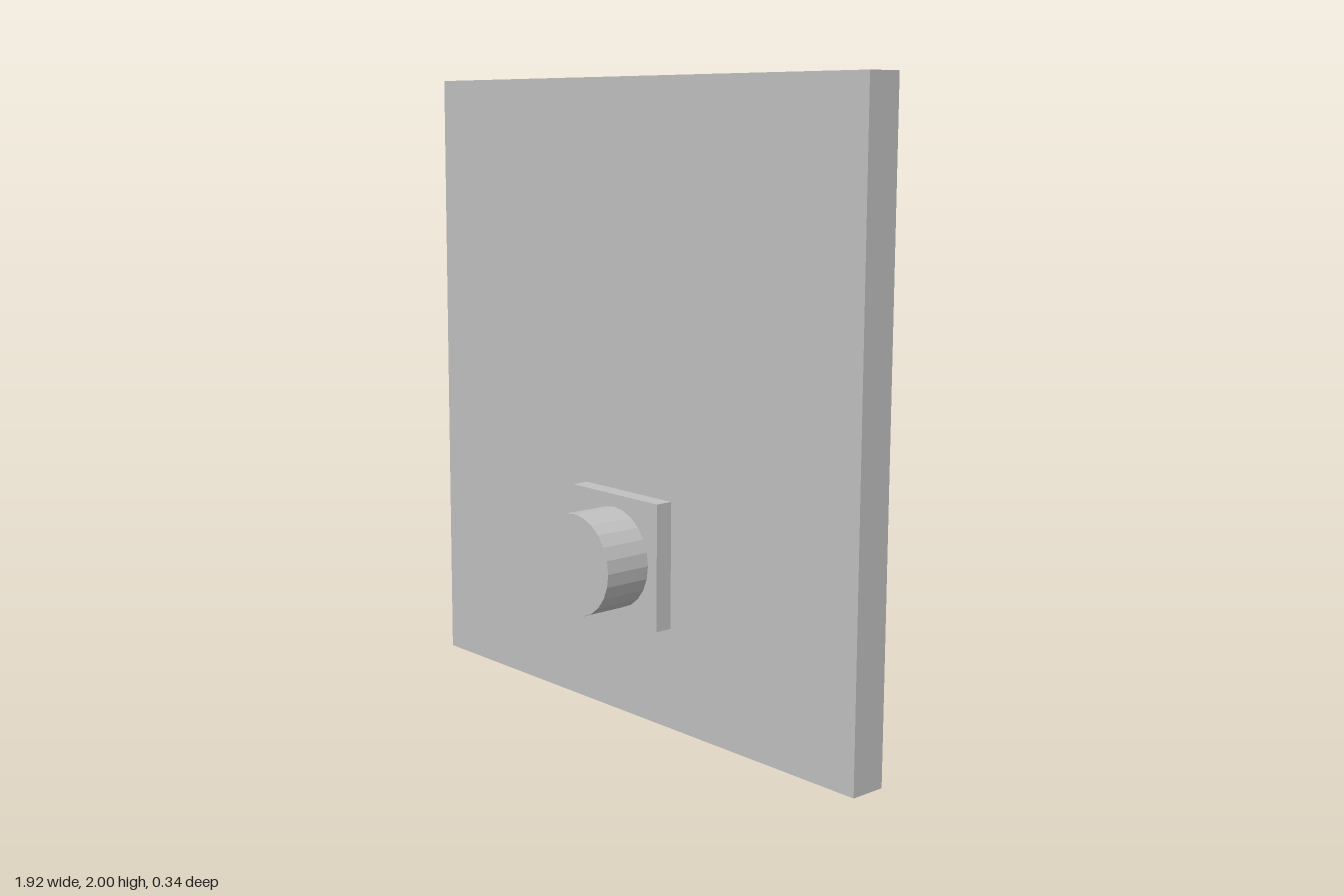
import * as THREE from 'three';

export function createModel() {
  const model = new THREE.Group();
  model.name = 'panelWithKnob';

  const grey = new THREE.MeshStandardMaterial({ color: 0xc0c0c0, flatShading: true });
  grey.name = 'light grey';

  const add = (name, geometry, y, z) => {
    const mesh = new THREE.Mesh(geometry, grey);
    mesh.name = name;
    mesh.position.set(0, y, z);
    model.add(mesh);
  };

  // z limits of the stacked parts, back to front
  const back = -0.168, panelFront = -0.05, plateFront = 0.008, knobFront = 0.168;
  const knobY = 0.52;

  // Large upright panel
  add('panel', new THREE.BoxGeometry(1.92, 2, panelFront - back), 1, (back + panelFront) / 2);

  // Square mounting plate
  add('mountingPlate', new THREE.BoxGeometry(0.4, 0.4, plateFront - panelFront), knobY, (panelFront + plateFront) / 2);

  // Round faceted knob pointing forward
  const knob = new THREE.CylinderGeometry(0.16, 0.16, knobFront - plateFront, 24).rotateX(Math.PI / 2);
  add('knob', knob, knobY, (plateFront + knobFront) / 2);

  return model;
}
